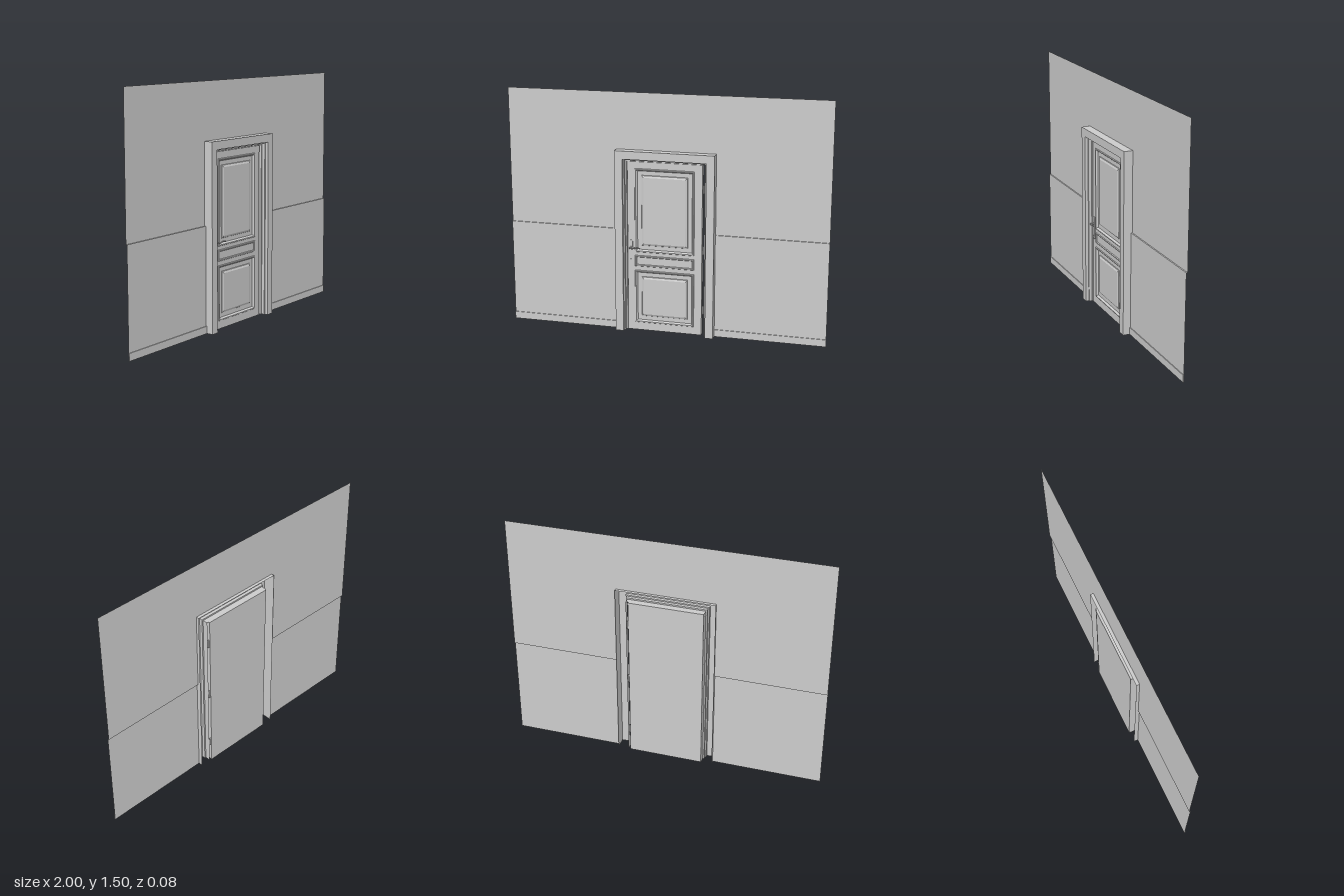
import * as THREE from 'three';

const grey = new THREE.MeshStandardMaterial({ color: 0xcccccc, side: THREE.DoubleSide });

function add(parent, name, geometry, x = 0, y = 0, z = 0) {
  const mesh = new THREE.Mesh(geometry, grey);
  mesh.name = name;
  mesh.position.set(x, y, z);
  parent.add(mesh);
  return mesh;
}

// Box given by its limits
function addBox(parent, name, [x0, x1], [y0, y1], [z0, z1]) {
  return add(parent, name, new THREE.BoxGeometry(x1 - x0, y1 - y0, z1 - z0),
    (x0 + x1) / 2, (y0 + y1) / 2, (z0 + z1) / 2);
}

// Flat-faced skin between consecutive sections of [x, y, z] points
function loft(sections) {
  const pos = [];
  for (let i = 0; i < sections.length - 1; i++) {
    const s = sections[i], t = sections[i + 1];
    for (let j = 0; j < s.length - 1; j++) {
      pos.push(...s[j], ...t[j], ...t[j + 1], ...s[j], ...t[j + 1], ...s[j + 1]);
    }
  }
  const g = new THREE.BufferGeometry();
  g.setAttribute('position', new THREE.Float32BufferAttribute(pos, 3));
  g.computeVertexNormals();
  return g;
}

function rectPath(path, x0, x1, y0, y1) {
  path.moveTo(x0, y0).lineTo(x1, y0).lineTo(x1, y1).lineTo(x0, y1).closePath();
  return path;
}

// Rectangular moulding: profile of [inset, z] mitred round the rectangle, then capped
function addPanel(parent, name, [x0, x1, y0, y1], profile, face) {
  const corners = [[x0, y0, 1, 1], [x1, y0, -1, 1], [x1, y1, -1, -1], [x0, y1, 1, -1], [x0, y0, 1, 1]];
  const group = new THREE.Group();
  group.name = name;
  parent.add(group);
  add(group, 'moulding', loft(corners.map(([x, y, dx, dy]) =>
    profile.map(([o, z]) => [x + dx * o, y + dy * o, face + z]))));
  const [o, z] = profile[profile.length - 1];
  add(group, 'panelField', new THREE.PlaneGeometry(x1 - x0 - 2 * o, y1 - y0 - 2 * o),
    (x0 + x1) / 2, (y0 + y1) / 2, face + z);
}

function buildWall() {
  const wall = new THREE.Group();
  wall.name = 'wall';
  const zUp = -0.016, zLow = -0.008, split = 0.65;
  // Upper wall sheet with the door opening cut out
  const shape = new THREE.Shape();
  shape.moveTo(-1, split).lineTo(-0.31, split).lineTo(-0.31, 1.15).lineTo(0.31, 1.15)
    .lineTo(0.31, split).lineTo(1, split).lineTo(1, 1.5).lineTo(-1, 1.5);
  add(wall, 'upperWall', new THREE.ShapeGeometry(shape), 0, 0, zUp);
  // Lower wall with its small ledge, and the skirting on each side
  for (const [x0, x1, side] of [[-1, -0.31, 'right'], [0.31, 1, 'left']]) {
    const profile = [[0, zLow], [split, zLow], [split, zUp]];
    add(wall, side + 'LowerWall', loft([x0, x1].map(x => profile.map(([y, z]) => [x, y, z]).reverse())));
    addBox(wall, side + 'Skirting', [x0, x1], [0, 0.045], [zLow, -0.003]);
  }
  return wall;
}

function buildFrame() {
  const frame = new THREE.Group();
  frame.name = 'doorFrame';
  // Hollow stepped casing section, from the outer edge in to the jamb
  const profile = [[0.07, -0.036], [0.07, 0.04], [0.02, 0.04], [0.02, 0.02],
    [0.012, 0.02], [0.012, 0], [0.003, 0], [0.003, -0.034]];
  const path = [[1, 0], [1, 1], [-1, 1], [-1, 0]];
  add(frame, 'casing', loft(path.map(([sx, top]) =>
    profile.map(([o, z]) => [sx * (0.24 + o), top * (1.08 + o), z]))));
  return frame;
}

function buildDoor() {
  const door = new THREE.Group();
  door.name = 'door';
  const X = [-0.24, 0.228], back = -0.038, core = -0.018, face = -0.005;
  const panels = [[-0.195, 0.18, 0.51, 1.038], [-0.195, 0.18, 0.418, 0.488], [-0.195, 0.18, 0.05, 0.392]];

  // Slab and the stile-and-rail front
  addBox(door, 'slab', X, [0, 1.08], [back, core]);
  const front = rectPath(new THREE.Shape(), X[0], X[1], 0, 1.08);
  for (const p of panels) front.holes.push(rectPath(new THREE.Path(), ...p));
  add(door, 'stilesAndRails',
    new THREE.ExtrudeGeometry(front, { depth: face - core, bevelEnabled: false }), 0, 0, core);

  // Raised moulding, groove and bevelled field
  const bead = [[0, 0], [0.003, 0.005], [0.008, 0.005], [0.012, 0], [0.016, -0.008]];
  const field = [[0.042, -0.008], [0.044, -0.004], [0.056, 0.002]];
  addPanel(door, 'upperPanel', panels[0], [...bead, ...field], face);
  addPanel(door, 'middlePanel', panels[1], bead.slice(0, 4), face);
  addPanel(door, 'lowerPanel', panels[2], [...bead, ...field], face);

  // Handle: rounded backplate, spindle, curved lever and keyhole collar
  const handle = new THREE.Group();
  handle.name = 'handle';
  door.add(handle);
  const r = 0.012, plate = new THREE.Shape();
  plate.absarc(0, 0.573, r, 0, Math.PI).absarc(0, 0.447, r, Math.PI, 2 * Math.PI);
  add(handle, 'backplate',
    new THREE.ExtrudeGeometry(plate, { depth: 0.004, bevelEnabled: false, curveSegments: 8 }), -0.22, 0, face);
  const cyl = (name, radius, length, y, z) =>
    add(handle, name, new THREE.CylinderGeometry(radius, radius, length, 12), -0.22, y, z).rotation.x = Math.PI / 2;
  cyl('spindle', 0.005, 0.024, 0.54, 0.009);
  cyl('keyholeCollar', 0.004, 0.004, 0.46, 0.001);
  const lever = new THREE.CatmullRomCurve3([[-0.224, 0.538], [-0.205, 0.536], [-0.18, 0.543], [-0.155, 0.539]]
    .map(([x, y]) => new THREE.Vector3(x, y, 0.021)));
  add(handle, 'lever', new THREE.TubeGeometry(lever, 14, 0.004, 8));

  // Hinges in the gap beside the door
  for (const y of [0.155, 0.54, 0.925]) {
    const hinge = new THREE.Group();
    hinge.name = 'hinge';
    hinge.position.set(0.234, y, -0.033);
    door.add(hinge);
    add(hinge, 'barrel', new THREE.CylinderGeometry(0.005, 0.005, 0.05, 12));
    addBox(hinge, 'leaf', [-0.007, 0.008], [-0.022, 0.022], [0.001, 0.003]);
  }
  return door;
}

export function createModel() {
  const model = new THREE.Group();
  model.name = 'doorInWall';
  model.add(buildWall(), buildFrame(), buildDoor());
  return model;
}
